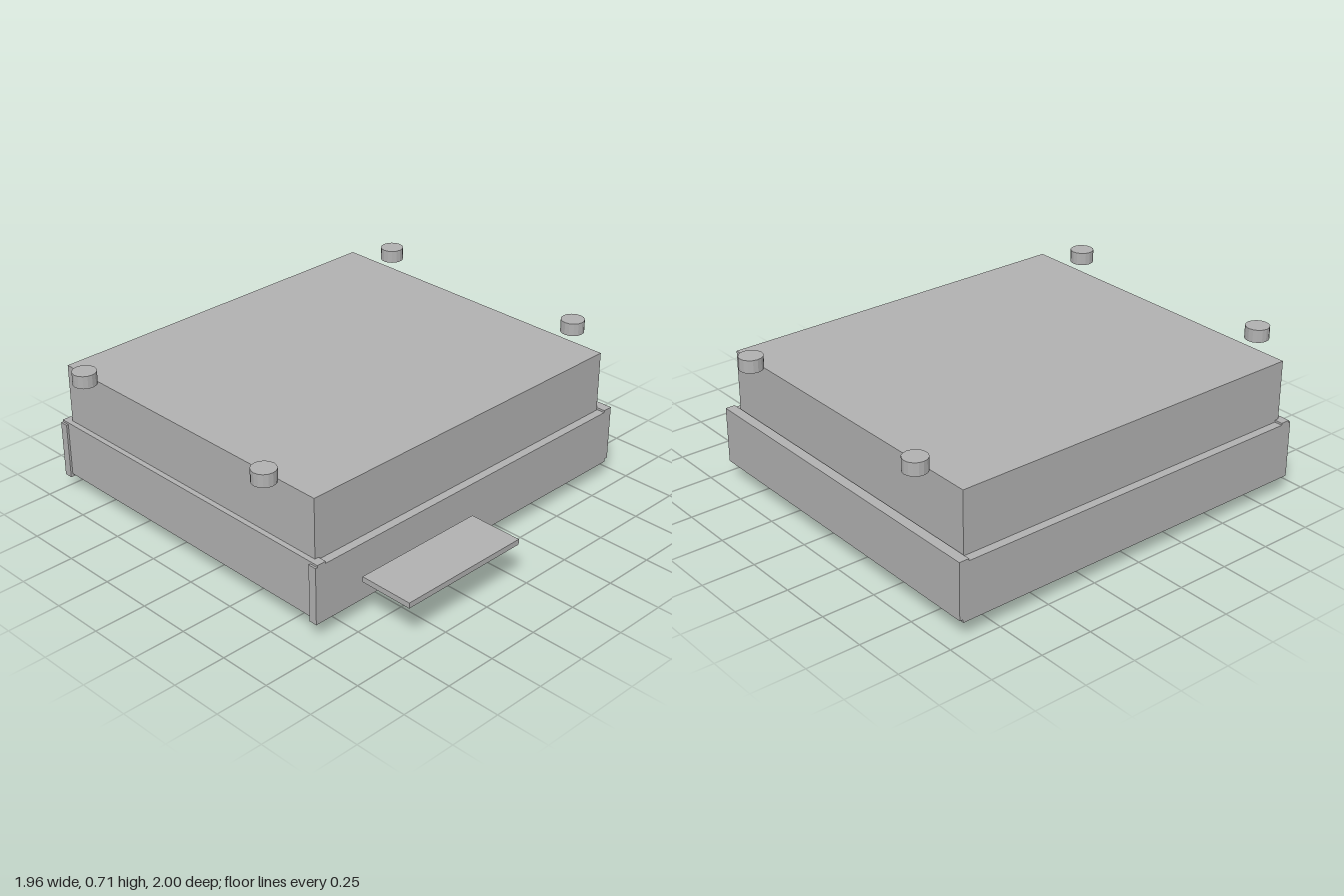
import * as THREE from 'three';

const grey = new THREE.MeshStandardMaterial({ color: 0xb2b2b2 });
grey.name = 'plain grey';

// Box given by its minimum and maximum corners
function box(parent, name, [x0, y0, z0], [x1, y1, z1]) {
  const mesh = new THREE.Mesh(new THREE.BoxGeometry(x1 - x0, y1 - y0, z1 - z0), grey);
  mesh.position.set((x0 + x1) / 2, (y0 + y1) / 2, (z0 + z1) / 2);
  mesh.name = name;
  parent.add(mesh);
}

function disc(parent, name, r, y0, y1, x, z, sides = 16) {
  const geo = new THREE.CylinderGeometry(r, r, y1 - y0, sides).toNonIndexed();
  geo.computeVertexNormals();
  const mesh = new THREE.Mesh(geo, grey);
  mesh.position.set(x, (y0 + y1) / 2, z);
  mesh.name = name;
  parent.add(mesh);
}

// Rectangular rim with an open middle, w by d, standing from y0 to y1
function rim(parent, name, w, d, t, y0, y1) {
  const rect = (P, a, b) => new P([
    new THREE.Vector2(-a, -b), new THREE.Vector2(a, -b),
    new THREE.Vector2(a, b), new THREE.Vector2(-a, b)]);
  const shape = rect(THREE.Shape, w / 2, d / 2);
  shape.holes.push(rect(THREE.Path, w / 2 - t, d / 2 - t));
  const geo = new THREE.ExtrudeGeometry(shape, { depth: y1 - y0, bevelEnabled: false });
  geo.rotateX(-Math.PI / 2);
  const mesh = new THREE.Mesh(geo, grey);
  mesh.position.y = y0;
  mesh.name = name;
  parent.add(mesh);
}

// One underside module, centred on its own x and z
function createModule() {
  const g = new THREE.Group();
  g.name = 'undersideModule';
  box(g, 'modulePlate', [-0.235, 0.072, -0.185], [0.235, 0.092, 0.185]);
  rim(g, 'moduleRim', 0.47, 0.37, 0.022, 0.05, 0.073);
  // dividers between the knob bay and the ribbed tray
  box(g, 'longDivider', [-0.213, 0.052, -0.035], [0.213, 0.073, -0.018]);
  box(g, 'shortDivider', [0.07, 0.052, -0.163], [0.087, 0.073, -0.035]);
  // ribbed tray
  box(g, 'tray', [-0.19, 0.045, 0.005], [0.06, 0.073, 0.135]);
  for (let i = 0; i < 5; i++) {
    const z = 0.02 + i * 0.025;
    box(g, 'trayRib', [-0.18, 0.036, z - 0.005], [0.05, 0.046, z + 0.005]);
  }
  box(g, 'sideTray', [-0.19, 0.053, -0.145], [0.05, 0.073, -0.055]);
  // knob and locating feet
  disc(g, 'knob', 0.05, 0.014, 0.073, 0.16, -0.075);
  disc(g, 'knobTip', 0.018, 0, 0.015, 0.16, -0.075, 12);
  for (const z of [-0.16, 0.16]) {
    disc(g, 'moduleFoot', 0.019, 0.024, 0.09, -0.222, z, 12);
  }
  return g;
}

export function createModel() {
  const model = new THREE.Group();
  model.name = 'consoleAssembly';

  // main block and the frame around its lower half
  box(model, 'mainBlock', [-0.94, 0.09, -0.885], [0.64, 0.64, 0.88]);
  box(model, 'frontPanel', [-0.98, 0.095, 0.86], [0.68, 0.36, 0.905]);
  box(model, 'backPanel', [-0.98, 0.095, -0.937], [0.68, 0.36, -0.89]);
  box(model, 'rightWall', [-0.98, 0.08, -0.92], [-0.94, 0.35, 0.915]);
  box(model, 'leftWall', [0.64, 0.08, -0.92], [0.68, 0.35, 0.915]);

  // three by four modules on the underside
  for (let col = 0; col < 3; col++) {
    for (let row = 0; row < 4; row++) {
      const m = createModule();
      m.position.set(-0.64 + col * 0.487, 0, -0.612 + row * 0.407);
      model.add(m);
    }
  }

  // loose corner discs
  for (const x of [-0.725, 0.425]) {
    for (const z of [-0.945, 0.945]) disc(model, 'cornerDisc', 0.055, 0.655, 0.715, x, z);
  }

  // side plate with raised bars below
  box(model, 'sidePlate', [0.72, 0.202, 0.04], [0.98, 0.228, 0.695]);
  for (let i = 0; i < 14; i++) {
    const z = 0.09 + i * 0.042;
    box(model, 'sidePlateBar', [0.76, 0.194, z - 0.01], [0.94, 0.203, z + 0.01]);
  }
  return model;
}
